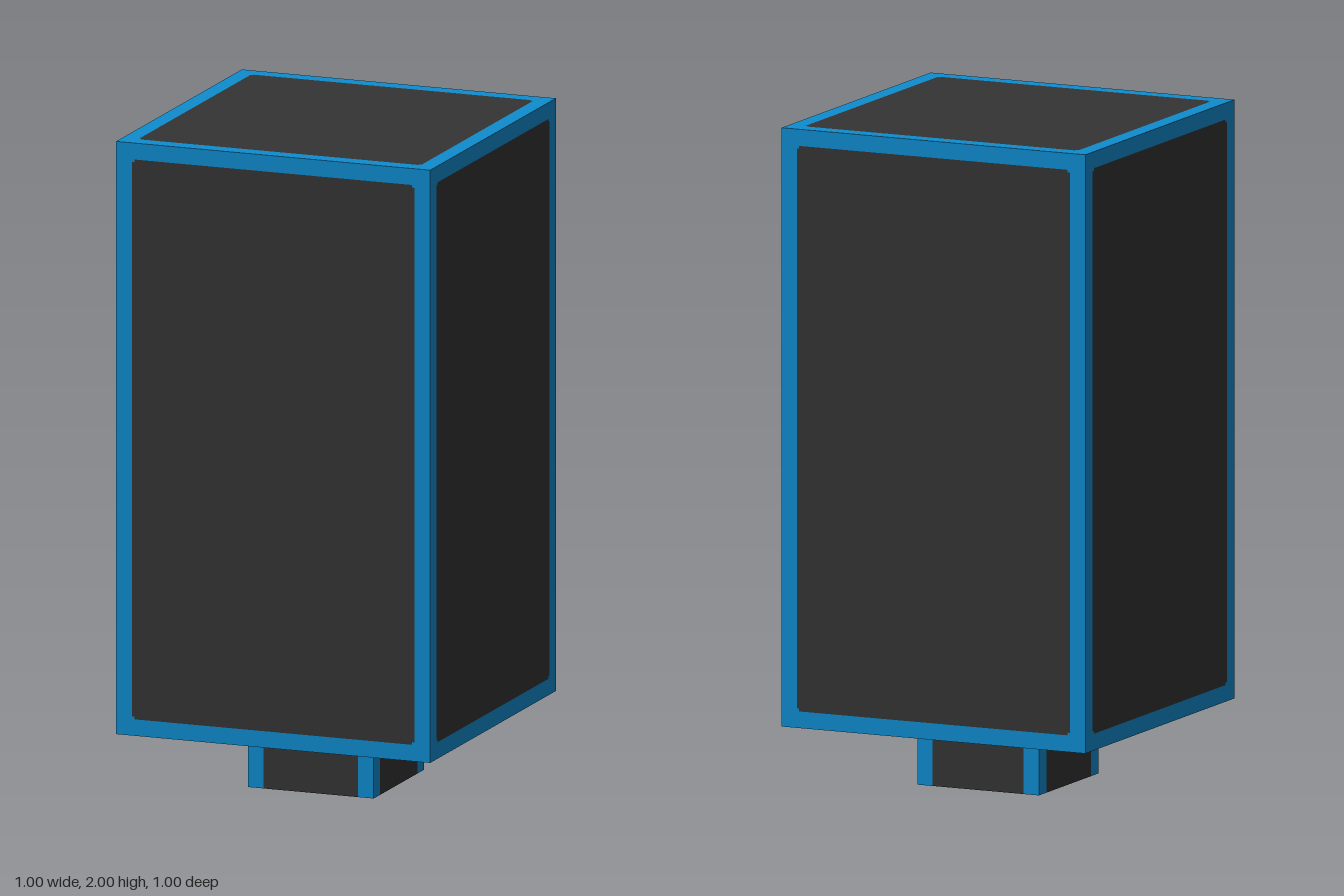
import * as THREE from 'three';

export function createModel() {
  const model = new THREE.Group();
  const blue = new THREE.MeshStandardMaterial({ color: 0x0f8ccf });
  blue.name = 'blue trim';
  const dark = new THREE.MeshStandardMaterial({ color: 0x343434 });
  dark.name = 'charcoal panel';

  const add = (parent, name, geometry, material, x = 0, y = 0, z = 0) => {
    const mesh = new THREE.Mesh(geometry, material);
    mesh.name = name;
    mesh.position.set(x, y, z);
    parent.add(mesh);
    return mesh;
  };

  // Rectangle outline with small square notches cut from its corners
  const notched = (w, h, n) => {
    const a = w / 2, b = h / 2;
    return [
      [a - n, -b], [a - n, -b + n], [a, -b + n], [a, b - n], [a - n, b - n], [a - n, b],
      [-a + n, b], [-a + n, b - n], [-a, b - n], [-a, -b + n], [-a + n, -b + n], [-a + n, -b],
    ].map(([x, y]) => new THREE.Vector2(x, y));
  };

  // One body side: a blue border with a flush dark panel
  const addSide = (name, w, h, distance, rx, ry) => {
    const side = new THREE.Group();
    side.name = name;
    const a = w / 2, b = h / 2;
    const outline = notched(w - 0.1, h - 0.1, 0.008);
    const border = new THREE.Shape(
      [[-a, -b], [a, -b], [a, b], [-a, b]].map(([x, y]) => new THREE.Vector2(x, y)));
    border.holes.push(new THREE.Path(outline));
    add(side, name + 'Border', new THREE.ShapeGeometry(border), blue, 0, 0, distance);
    add(side, name + 'Panel', new THREE.ShapeGeometry(new THREE.Shape(outline)), dark, 0, 0, distance);
    side.rotation.set(rx, ry, 0);
    side.position.y = 1.1;
    model.add(side);
  };

  // Body
  ['front', 'left', 'back', 'right'].forEach((name, i) =>
    addSide(name, 1, 1.8, 0.5, 0, i * Math.PI / 2));
  addSide('top', 1, 1, 0.9, -Math.PI / 2, 0);
  addSide('bottom', 1, 1, 0.9, Math.PI / 2, 0);

  // Neck: cross-shaped dark core with a blue post in each corner
  const core = new THREE.ExtrudeGeometry(new THREE.Shape(notched(0.4, 0.4, 0.05)),
    { depth: 0.2, bevelEnabled: false });
  core.rotateX(-Math.PI / 2);
  add(model, 'neckCore', core, dark);
  for (const x of [-0.175, 0.175]) {
    for (const z of [-0.175, 0.175]) {
      add(model, 'neckCornerPost', new THREE.BoxGeometry(0.05, 0.2, 0.05), blue, x, 0.1, z);
    }
  }

  return model;
}
